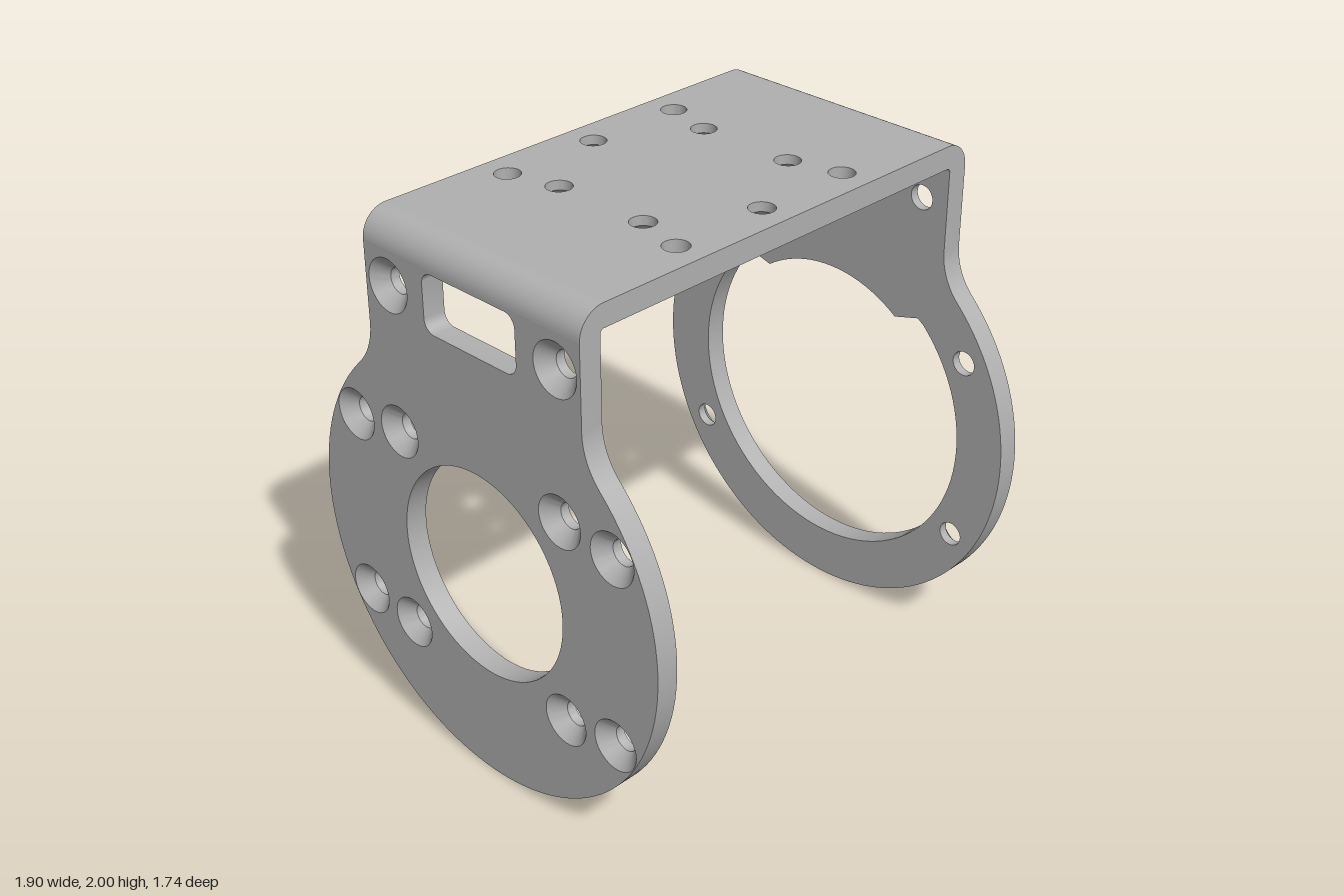
import * as THREE from 'three';
import { toCreasedNormals } from 'three/addons/utils/BufferGeometryUtils.js';

const T = 0.085;          // sheet thickness
const HALF_X = 0.916;     // half the outer width
const HALF_Z = 0.51;      // half the depth of the bridge
const BEND = 0.1;         // outer bend radius
const R = 0.83;           // radius (and centre height) of the side discs
const HOLE = 0.047, SINK = 0.097, SINK_DEPTH = 0.05;

// Points along an arc, both ends included
function arc(cx, cy, r, a0, a1, n) {
  return Array.from({ length: n + 1 }, (_, i) => {
    const a = a0 + (a1 - a0) * i / n;
    return new THREE.Vector2(cx + r * Math.cos(a), cy + r * Math.sin(a));
  });
}
const circle = (x, y, r, n = 32) => arc(x, y, r, 0, Math.PI * 2, n).slice(0, n);

// Holes are given by their loop on the plain face and on the countersunk face
const plain = (loop) => ({ bottom: loop, top: loop });
const drilled = (x, y) => plain(circle(x, y, HOLE));
const countersunk = (x, y) => ({ bottom: circle(x, y, HOLE), top: circle(x, y, SINK) });

// Flat plate from z = 0 to z = T, countersinks open on the z = T face
function plateGeometry(outline, holes) {
  const pos = [];
  const put = (p, z) => pos.push(p.x, p.y, z);
  const face = (loops, z, flip) => {
    const pts = loops.flat();
    for (const [a, b, c] of THREE.ShapeUtils.triangulateShape(loops[0], loops.slice(1)))
      for (const i of flip ? [a, c, b] : [a, b, c]) put(pts[i], z);
  };
  const wall = (lo, z0, hi, z1) => lo.forEach((p, i) => {
    const j = (i + 1) % lo.length;
    put(p, z0); put(lo[j], z0); put(hi[j], z1);
    put(p, z0); put(hi[j], z1); put(hi[i], z1);
  });
  face([outline, ...holes.map((h) => h.bottom)], 0, true);
  face([outline, ...holes.map((h) => h.top)], T, false);
  wall(outline, 0, outline, T);
  for (const h of holes) {
    const lo = [...h.bottom].reverse(), hi = [...h.top].reverse();
    if (h.bottom === h.top) wall(lo, 0, lo, T);
    else {
      wall(lo, 0, lo, T - SINK_DEPTH);
      wall(lo, T - SINK_DEPTH, hi, T);
    }
  }
  const g = new THREE.BufferGeometry();
  g.setAttribute('position', new THREE.Float32BufferAttribute(pos, 3));
  return toCreasedNormals(g, 0.5);
}

// Disc with a filleted neck rising to the bend
function sideOutline() {
  const f = 0.25, cx = HALF_Z + f;
  const dy = Math.sqrt((R + f) ** 2 - cx ** 2), a = Math.atan2(dy, cx);
  return [
    new THREE.Vector2(-HALF_Z, 2 - BEND),
    ...arc(-cx, R + dy, f, 0, -a, 14),
    ...arc(0, R, R, Math.PI - a, Math.PI * 2 + a, 96).slice(1, -1),
    ...arc(cx, R + dy, f, Math.PI + a, Math.PI, 14),
    new THREE.Vector2(HALF_Z, 2 - BEND),
  ];
}

// Large opening with a shallower, notched top
function largeOpening() {
  const a = 0.79, b = 0.955;
  return [
    ...arc(0, R, 0.535, b, Math.PI - b, 24),
    new THREE.Vector2(-0.415, 1.298),
    ...arc(0, R, 0.63, Math.PI - a, Math.PI * 2 + a, 80),
    new THREE.Vector2(0.415, 1.298),
  ];
}

function roundedSlot(x, y0, y1, r) {
  const q = Math.PI / 2;
  return [[x - r, y1 - r], [r - x, y1 - r], [r - x, y0 + r], [x - r, y0 + r]]
    .flatMap(([cx, cy], i) => arc(cx, cy, r, i * q, (i + 1) * q, 8));
}

export function createModel() {
  const model = new THREE.Group();
  model.name = 'mountingBracket';
  const metal = new THREE.MeshStandardMaterial({ color: 0xb0b0b0 });
  metal.name = 'grey metal';
  const add = (name, geometry) => {
    const mesh = new THREE.Mesh(geometry, metal);
    mesh.name = name;
    model.add(mesh);
    return mesh;
  };

  // Screw holes shared by both sides: four around the disc, two in the neck
  const sideHoles = () => [-1, 1].flatMap((s) => [
    countersunk(s * 0.632, R + 0.365),
    countersunk(s * 0.632, R - 0.365),
    countersunk(s * 0.397, 1.77),
  ]);

  // Left side plate with the large opening
  const left = add('leftSidePlate',
    plateGeometry(sideOutline(), [plain(largeOpening()), ...sideHoles()]));
  left.rotation.y = Math.PI / 2;
  left.position.x = HALF_X - T;

  // Right side plate with the small bore, four more screws and a slot
  const inner = [-1, 1].flatMap((s) => [-1, 1].map((t) => countersunk(s * 0.395, R + t * 0.393)));
  const right = add('rightSidePlate', plateGeometry(sideOutline(), [
    plain(circle(0, R, 0.395, 72)),
    plain(roundedSlot(0.22, 1.67, 1.885, 0.045)),
    ...sideHoles(), ...inner,
  ]));
  right.rotation.y = -Math.PI / 2;
  right.position.x = T - HALF_X;

  // Top plate, countersunk from below
  const w = HALF_X - BEND;
  const topOutline = [[-w, -HALF_Z], [w, -HALF_Z], [w, HALF_Z], [-w, HALF_Z]]
    .map(([x, y]) => new THREE.Vector2(x, y));
  const topHoles = [-1, 1].flatMap((s) => [
    countersunk(0, s * 0.393),
    ...[-1, 1].flatMap((t) => [
      drilled(t * 0.393, s * 0.393),
      countersunk(t * 0.342, s * 0.196),
    ]),
  ]);
  const top = add('topPlate', plateGeometry(topOutline, topHoles));
  top.rotation.x = Math.PI / 2;
  top.position.y = 2;

  // Rounded bends joining the top to the sides
  const section = new THREE.Shape([
    ...arc(w, 2 - BEND, BEND, 0, Math.PI / 2, 14),
    ...arc(w, 2 - BEND, BEND - T, Math.PI / 2, 0, 14),
  ]);
  const bend = new THREE.ExtrudeGeometry(section, { depth: HALF_Z * 2, bevelEnabled: false });
  bend.translate(0, 0, -HALF_Z);
  const bendGeometry = toCreasedNormals(bend, 0.5);
  add('leftBend', bendGeometry);
  add('rightBend', bendGeometry).rotation.y = Math.PI;

  // The bracket stands slightly turned
  model.rotation.y = -0.0437;
  return model;
}
